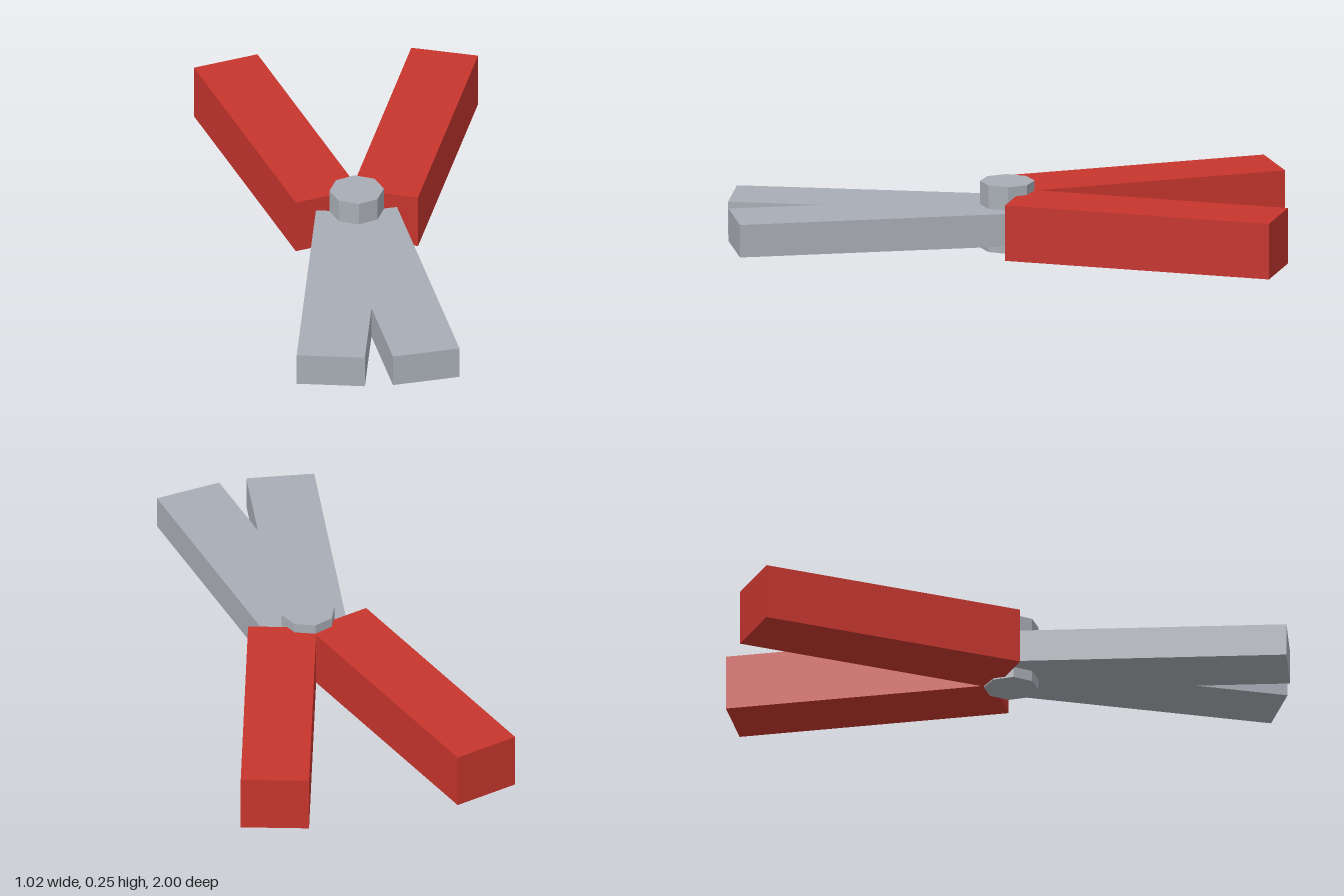
import * as THREE from 'three';

export function createModel() {
  const group = new THREE.Group();
  group.name = 'pliers';
  const steel = new THREE.MeshStandardMaterial({ name: 'steel grey', color: 0xa8adb5, flatShading: true });
  const grip = new THREE.MeshStandardMaterial({ name: 'grip red', color: 0xc6352d, flatShading: true });

  // a bar lying flat between two heights, turned about the vertical
  const bar = (name, material, x, z, y0, y1, angle) => {
    const mesh = new THREE.Mesh(new THREE.BoxGeometry(0.245, y1 - y0, 0.984), material);
    mesh.name = name;
    mesh.position.set(x, (y0 + y1) / 2, z);
    mesh.rotation.y = angle;
    group.add(mesh);
  };

  // mirrored jaws in front, splayed handles behind
  for (const [side, s] of [['left', 1], ['right', -1]]) {
    bar(side + 'Jaw', steel, s * 0.098, 0.495, 0.04, 0.16, s * 0.15);
    bar(side + 'Handle', grip, s * 0.248, -0.494, 0.005, 0.21, s * -0.3);
  }

  // octagonal pivot bolt
  const pivot = new THREE.Mesh(new THREE.CylinderGeometry(0.098, 0.098, 0.246, 8), steel);
  pivot.name = 'pivotBolt';
  pivot.position.y = 0.123;
  group.add(pivot);

  return group;
}
